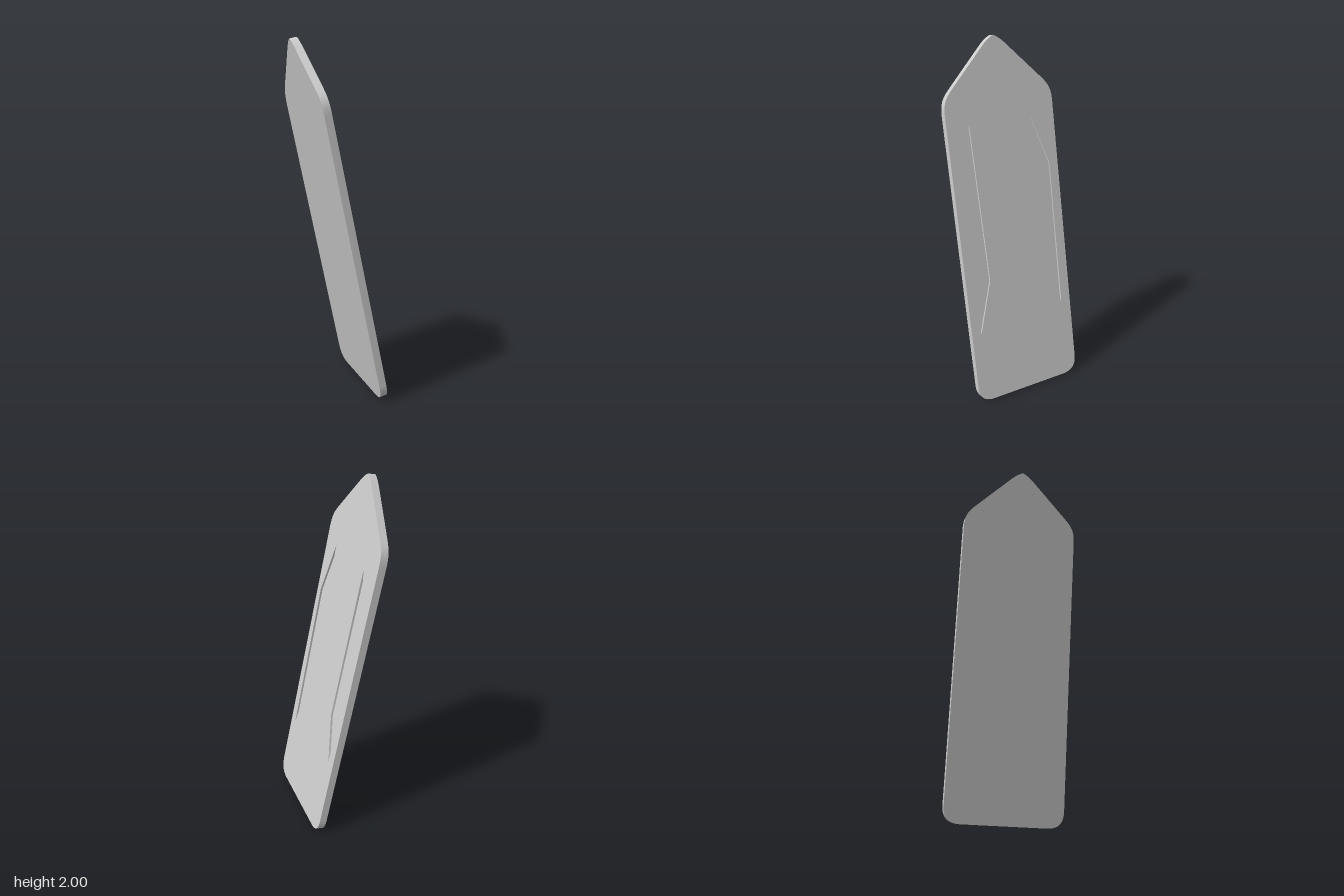
import * as THREE from 'three';
import { toCreasedNormals } from 'three/addons/utils/BufferGeometryUtils.js';

const TILT = 0.209, THICK = 0.042, RECESS = 0.011;

// Height above the ground -> distance along the leaning front face
const along = (y) => (y - THICK * Math.sin(TILT)) / Math.cos(TILT);

// Pointed panel outline with rounded shoulders and bottom corners
function outline() {
  const s = new THREE.Shape();
  s.moveTo(-0.24, 0.002);
  s.lineTo(0.24, 0.002);
  s.quadraticCurveTo(0.33, 0.004, 0.33, 0.095);
  s.lineTo(0.33, along(1.62));
  s.bezierCurveTo(0.33, along(1.69), 0.31, along(1.715), 0.27, along(1.755));
  s.lineTo(0.065, along(1.955));
  s.quadraticCurveTo(0.03, along(1.988), 0, 2.035);
  s.quadraticCurveTo(-0.03, along(1.988), -0.065, along(1.955));
  s.lineTo(-0.27, along(1.755));
  s.bezierCurveTo(-0.31, along(1.715), -0.33, along(1.69), -0.33, along(1.62));
  s.lineTo(-0.33, 0.095);
  s.quadraticCurveTo(-0.33, 0.004, -0.24, 0.002);
  return s;
}

// Four-cornered slanted recesses, as [z, y]
const recesses = [
  [[0.198, 1.56], [0.285, 1.27], [0.272, 0.41], [0.18, 0.7]],
  [[-0.178, 1.56], [-0.178, 0.71], [-0.27, 0.46], [-0.276, 1.28]],
];

function layer(name, shape, depth, offset) {
  const geo = new THREE.ExtrudeGeometry(shape, { depth, bevelEnabled: false, curveSegments: 12 });
  geo.translate(0, 0, offset);
  geo.rotateY(Math.PI / 2);
  const mesh = new THREE.Mesh(toCreasedNormals(geo, 0.6), new THREE.MeshStandardMaterial({ color: 0xcccccc }));
  mesh.name = name;
  return mesh;
}

export function createModel() {
  const panel = new THREE.Group();
  panel.name = 'leaningPanel';

  // Solid back layer, which is also the floor of the recesses
  panel.add(layer('panelBack', outline(), THICK - RECESS, 0));

  // Front layer pierced by the two recesses
  const front = outline();
  for (const pts of recesses) {
    front.holes.push(new THREE.Path(pts.map(([z, y]) => new THREE.Vector2(-z, along(y)))));
  }
  panel.add(layer('panelFront', front, RECESS, THICK - RECESS));

  // Lean the panel back
  panel.rotation.z = TILT;
  panel.position.x = 0.19;

  const model = new THREE.Group();
  model.name = 'model';
  model.add(panel);
  return model;
}
